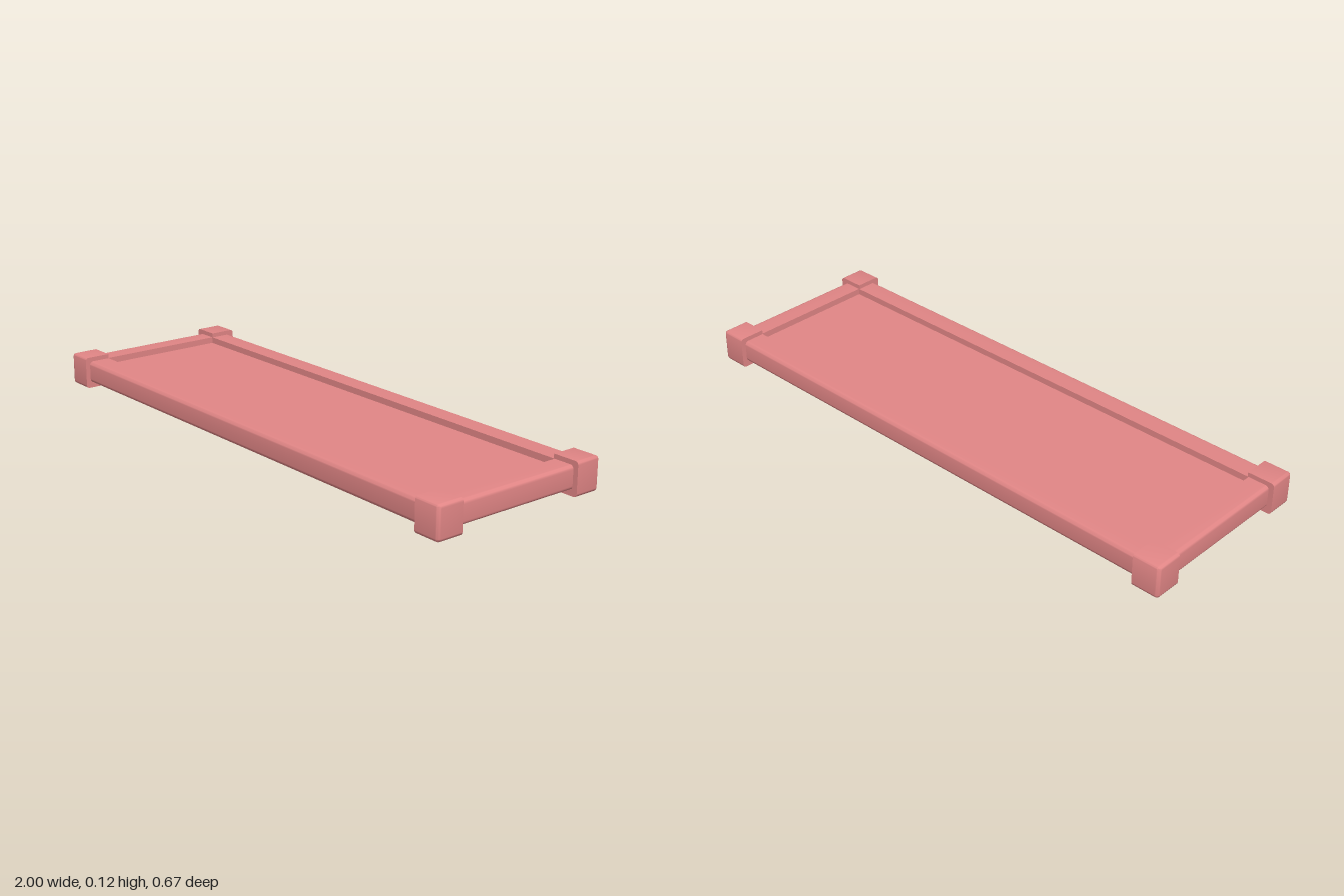
import * as THREE from 'three';
import { RoundedBoxGeometry } from 'three/addons/geometries/RoundedBoxGeometry.js';
import { toCreasedNormals } from 'three/addons/utils/BufferGeometryUtils.js';

const material = new THREE.MeshStandardMaterial({ color: 0xe08585 });

// Rounded box from lo to hi. Sides listed in `flat` (e.g. '-x') are cut
// square: the box is grown past them, then its vertices are clamped back.
function softBox(name, lo, hi, radius, flat) {
  const low = new THREE.Vector3(...lo);
  const high = new THREE.Vector3(...hi);
  const outerLow = low.clone();
  const outerHigh = high.clone();
  for (const side of flat) {
    if (side[0] === '-') outerLow[side[1]] -= radius;
    else outerHigh[side[1]] += radius;
  }
  const size = outerHigh.clone().sub(outerLow);
  const centre = outerLow.clone().add(outerHigh).multiplyScalar(0.5);
  const geometry = new RoundedBoxGeometry(size.x, size.y, size.z, 3, radius);
  geometry.translate(centre.x, centre.y, centre.z);

  const position = geometry.attributes.position;
  const v = new THREE.Vector3();
  for (let i = 0; i < position.count; i++) {
    v.fromBufferAttribute(position, i).clamp(low, high);
    position.setXYZ(i, v.x, v.y, v.z);
  }
  const mesh = new THREE.Mesh(toCreasedNormals(geometry, 0.6), material);
  mesh.name = name;
  return mesh;
}

// Bounds of an interval running from a to b on the given side of zero
const span = (sign, a, b) => (sign > 0 ? [a, b] : [-b, -a]);

export function createModel() {
  const group = new THREE.Group();
  group.name = 'tray';
  const innerX = 0.905, innerZ = 0.238;

  // Thin recessed panel
  const panel = new THREE.Mesh(new THREE.BoxGeometry(innerX * 2 + 0.02, 0.035, innerZ * 2 + 0.02), material);
  panel.name = 'panel';
  panel.position.y = 0.06;
  group.add(panel);

  for (const s of [1, -1]) {
    const inward = s > 0 ? '-' : '+';

    // Long rails at front and back
    const [z0, z1] = span(s, innerZ, 0.318);
    group.add(softBox(s > 0 ? 'frontRail' : 'backRail',
      [-0.92, 0.02, z0], [0.92, 0.1, z1], 0.014, ['-x', '+x', inward + 'z']));

    // Short rails at the ends
    const [x0, x1] = span(s, innerX, 0.982);
    group.add(softBox(s > 0 ? 'leftRail' : 'rightRail',
      [x0, 0.02, -0.25], [x1, 0.1, 0.25], 0.014, ['-z', '+z', inward + 'x']));

    // Corner blocks, square on the faces that meet the rails
    for (const t of [1, -1]) {
      const [bx0, bx1] = span(s, 0.902, 1);
      const [bz0, bz1] = span(t, innerZ, 0.335);
      group.add(softBox((t > 0 ? 'front' : 'back') + (s > 0 ? 'Left' : 'Right') + 'Corner',
        [bx0, 0, bz0], [bx1, 0.116, bz1], 0.012,
        [inward + 'x', (t > 0 ? '-' : '+') + 'z']));
    }
  }
  return group;
}
